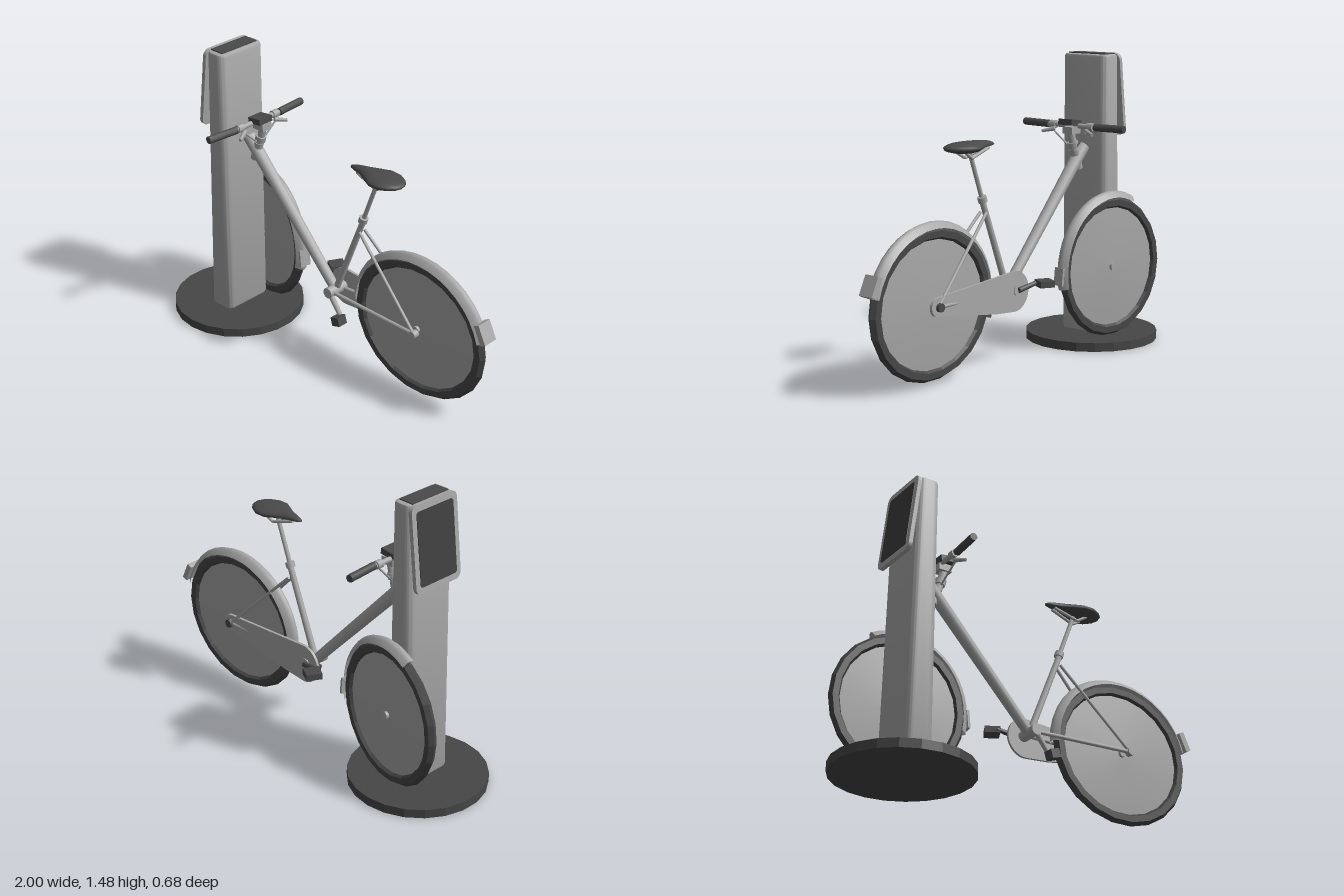
import * as THREE from 'three';
import { toCreasedNormals } from 'three/addons/utils/BufferGeometryUtils.js';

const mat = (name, color, extra = {}) => {
  const m = new THREE.MeshStandardMaterial({ color, ...extra });
  m.name = name;
  return m;
};
const V = (x, y, z) => new THREE.Vector3(x, y, z);

export function createModel() {
  const root = new THREE.Group();
  root.name = 'dockedBicycle';
  const metal = mat('light grey metal', 0xa8a8a8);
  const sheet = mat('light grey sheet', 0xa6a6a6, { side: THREE.DoubleSide });
  const dark = mat('dark grey plastic', 0x4a4a4a);
  const rubber = mat('dark rubber', 0x464646, { flatShading: true });
  const glass = mat('dark screen', 0x404040);

  const add = (name, geo, m, parent = root, x = 0, y = 0, z = 0) => {
    const mesh = new THREE.Mesh(geo, m);
    mesh.name = name;
    mesh.position.set(x, y, z);
    parent.add(mesh);
    return mesh;
  };
  const box = (name, m, size, pos, parent = root) =>
    add(name, new THREE.BoxGeometry(...size), m, parent, ...pos);
  // Straight tube between two points, radius r0 at a and r1 at b
  const rod = (name, a, b, r0, r1 = r0, m = metal, sides = 10, parent = root) => {
    const d = b.clone().sub(a);
    const mesh = add(name, new THREE.CylinderGeometry(r1, r0, d.length(), sides), m, parent);
    mesh.position.copy(a).add(b).multiplyScalar(0.5);
    mesh.quaternion.setFromUnitVectors(V(0, 1, 0), d.normalize());
    return mesh;
  };
  const roundRect = (w, h, r) => {
    const s = new THREE.Shape(), x = w / 2, y = h / 2;
    s.absarc(x - r, y - r, r, 0, Math.PI / 2);
    s.absarc(-x + r, y - r, r, Math.PI / 2, Math.PI);
    s.absarc(-x + r, -y + r, r, Math.PI, Math.PI * 1.5);
    s.absarc(x - r, -y + r, r, Math.PI * 1.5, Math.PI * 2);
    return s;
  };

  // Docking post on a round base
  add('basePlate', new THREE.CylinderGeometry(0.34, 0.34, 0.045, 22), rubber, root, -0.66, 0.0225, 0);
  const postGeo = new THREE.ExtrudeGeometry(roundRect(0.144, 0.28, 0.035), {
    depth: 1.405, curveSegments: 5, bevelSize: 0.015, bevelThickness: 0.015, bevelOffset: -0.015, bevelSegments: 2,
  }).rotateX(-Math.PI / 2);
  const pp = postGeo.attributes.position;
  for (let i = 0; i < pp.count; i++)
    if (pp.getX(i) < 0) pp.setX(i, pp.getX(i) + 0.03 * pp.getY(i) / 1.42);
  add('post', toCreasedNormals(postGeo, 0.6), metal, root, -0.655, 0.055, 0);
  box('postCap', dark, [0.08, 0.008, 0.23], [-0.645, 1.476, 0]);

  // Tilted screen panel on the post's outer side
  const panel = new THREE.Group();
  panel.name = 'screenPanel';
  panel.position.set(-0.71, 1.268, 0);
  panel.rotation.z = -0.115;
  root.add(panel);
  const plate = (w, h, r, depth) => new THREE.ExtrudeGeometry(roundRect(w, h, r),
    { depth, bevelEnabled: false, curveSegments: 5 }).rotateY(-Math.PI / 2);
  add('screenFrame', plate(0.29, 0.42, 0.035, 0.02), metal, panel);
  add('screen', plate(0.235, 0.355, 0.015, 0.004), glass, panel, -0.019, 0, 0);

  // Curved mudguard: a plane bent along an arc with a domed cross-section
  const fenderGeo = (rx, ry, from, to, half) => {
    const g = new THREE.PlaneGeometry(1, 1, 18, 4);
    const p = g.attributes.position;
    for (let i = 0; i < p.count; i++) {
      const a = THREE.MathUtils.degToRad(from + (to - from) * (p.getX(i) + 0.5));
      const s = p.getY(i) * 2, drop = 0.032 * s * s;
      p.setXYZ(i, Math.cos(a) * (rx - drop), Math.sin(a) * (ry - drop), s * half);
    }
    g.computeVertexNormals();
    return g;
  };

  // Wheel with solid covers, centred on its own axle
  const wheel = (name, pos, yaw, rx, ry, from, to) => {
    const g = new THREE.Group();
    g.name = name;
    g.position.set(...pos);
    g.rotation.y = yaw;
    root.add(g);
    const r = ry - 0.031;
    add('tyre', new THREE.TorusGeometry(r, 0.031, 6, 22).scale(rx / ry, 1, 0.85), rubber, g);
    const c = r - 0.02;
    const pts = [[0, -0.016], [c, -0.008], [c, 0.008], [0, 0.016]].map(q => new THREE.Vector2(...q));
    add('wheelCover', new THREE.LatheGeometry(pts, 22).rotateX(Math.PI / 2).scale(rx / ry, 1, 1), sheet, g);
    add('mudguard', fenderGeo(rx + 0.014, ry + 0.028, from, to, 0.036), sheet, g);
    rod('axle', V(0, 0, -0.03), V(0, 0, 0.03), 0.018, 0.018, metal, 10, g);
    return g;
  };
  const front = wheel('frontWheel', [-0.612, 0.40, -0.153], -0.16, 0.338, 0.36, -12, 115);
  wheel('rearWheel', [0.577, 0.38, -0.017], 0, 0.403, 0.364, 14, 183);
  box('frontMudflap', metal, [0.012, 0.09, 0.06], [0.348, -0.01, 0], front).rotation.z = 0.1;
  box('rearLamp', metal, [0.03, 0.10, 0.08], [0.968, 0.527, -0.017]).rotation.z = 0.45;

  // Frame tubes
  const Z = -0.012;
  const crank = V(0.035, 0.37, Z);
  rod('downTube', V(-0.565, 1.01, Z), V(0.025, 0.375, Z), 0.034, 0.026, metal, 12);
  rod('bottomBracket', V(0.035, 0.37, -0.085), V(0.035, 0.37, 0.05), 0.028, 0.028);
  rod('seatTube', crank, V(0.22, 0.84, Z), 0.017, 0.015);
  rod('seatPost', V(0.21, 0.82, Z), V(0.30, 1.06, Z), 0.011);
  rod('seatClamp', V(0.207, 0.815, Z), V(0.217, 0.842, Z), 0.023);
  for (const s of [-1, 1]) {
    const hub = V(0.595, 0.38, -0.017 + s * 0.062);
    rod('seatStay', V(0.205, 0.765, Z + s * 0.018), hub, 0.008);
    rod('chainStay', V(0.06, 0.37, Z + s * 0.035), hub, 0.010);
    rod('hubNut', hub.clone().add(V(0, 0, -0.016)), hub.clone().add(V(0, 0, 0.016)), 0.02, 0.02);
  }
  rod('hubCap', V(0.595, 0.38, -0.10), V(0.595, 0.38, -0.085), 0.022, 0.022, dark);

  // Tapered chain cover on the right-hand side
  const cover = new THREE.Shape();
  cover.absarc(0.05, 0.365, 0.10, Math.PI / 2, Math.PI * 1.5);
  cover.lineTo(0.18, 0.275);
  cover.absarc(0.595, 0.38, 0.045, -Math.PI / 2, Math.PI / 2);
  cover.lineTo(0.18, 0.455);
  add('chainCover', new THREE.ExtrudeGeometry(cover, { depth: 0.014, bevelEnabled: false, curveSegments: 10 }),
    metal, root, 0, 0, -0.08);

  // Cranks and pedals
  rod('rightCrank', V(0.035, 0.37, -0.09), V(-0.09, 0.395, -0.11), 0.014, 0.011, dark, 8);
  rod('leftCrank', V(0.035, 0.37, 0.035), V(0.12, 0.255, 0.035), 0.015, 0.012, metal, 8);
  box('rightPedal', dark, [0.075, 0.032, 0.08], [-0.09, 0.393, -0.15]).rotation.y = -0.5;
  box('leftPedal', dark, [0.05, 0.045, 0.055], [0.12, 0.256, 0.058]).rotation.z = 0.3;

  // Saddle: a sphere widened towards the back, with a flatter underside
  const seatGeo = new THREE.SphereGeometry(1, 18, 12);
  const sp = seatGeo.attributes.position;
  for (let i = 0; i < sp.count; i++) {
    const t = sp.getX(i), y = sp.getY(i);
    const w = 0.035 + 0.063 * THREE.MathUtils.smoothstep(t, -0.6, 0.4);
    const lower = 0.012 + 0.018 * THREE.MathUtils.smoothstep(t, -0.5, 0.5);
    sp.setXYZ(i, t * 0.163, y > 0 ? y * 0.028 : y * lower, sp.getZ(i) * w);
  }
  seatGeo.computeVertexNormals();
  add('saddle', seatGeo, dark, root, 0.292, 1.087, Z);
  for (const s of [-1, 1]) {
    rod('saddleRail', V(0.18, 1.075, Z + s * 0.012), V(0.31, 1.035, Z + s * 0.022), 0.008);
    rod('saddleRailBack', V(0.31, 1.035, Z + s * 0.022), V(0.36, 1.065, Z + s * 0.03), 0.008);
  }

  // Stem, handlebar, grips and brake levers
  rod('headTube', V(-0.525, 0.90, Z), V(-0.492, 1.0, Z), 0.024);
  rod('stem', V(-0.50, 0.96, Z), V(-0.455, 1.12, Z), 0.02);
  rod('stemCollar', V(-0.487, 1.01, Z), V(-0.478, 1.04, Z), 0.028);
  box('barClamp', metal, [0.07, 0.035, 0.06], [-0.47, 1.10, Z]);
  box('displayUnit', dark, [0.08, 0.03, 0.085], [-0.47, 1.137, 0]).rotation.z = 0.12;
  rod('handlebar', V(-0.49, 1.12, -0.16), V(-0.49, 1.12, 0.16), 0.013);
  for (const s of [-1, 1]) {
    rod('grip', V(-0.487, 1.12, s * 0.145), V(-0.502, 1.12, s * 0.315), 0.019, 0.019, dark);
    rod('brakeLever', V(-0.475, 1.10, s * 0.10), V(-0.445, 1.085, s * 0.16), 0.012, 0.008, metal, 8);
    rod('leverClamp', V(-0.49, 1.12, s * 0.10), V(-0.49, 1.12, s * 0.135), 0.02, 0.02);
    rod('brakeCable', V(-0.47, 1.09, s * 0.10), V(-0.49, 0.99, Z), 0.005, 0.005, metal, 6);
  }
  return root;
}
